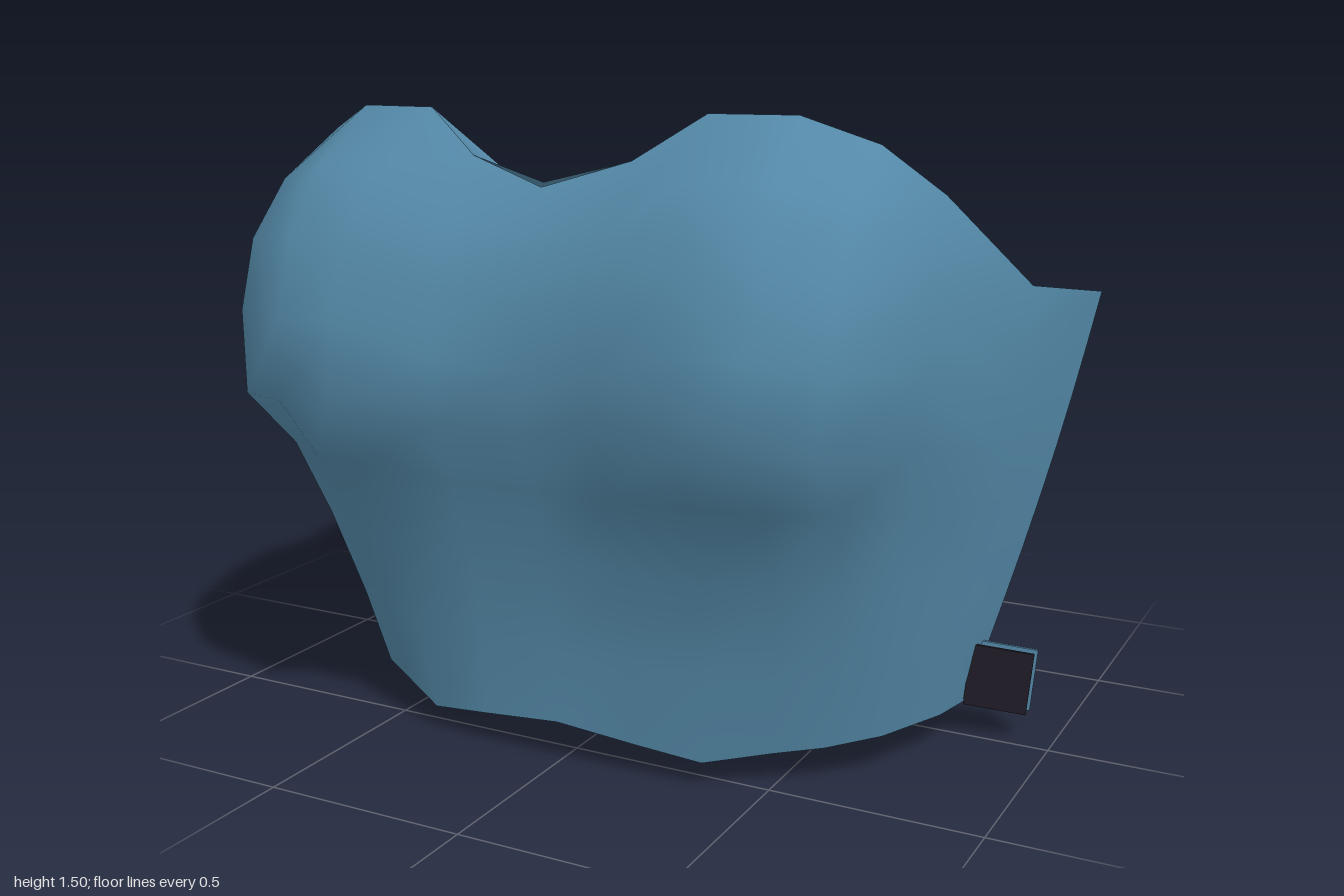
import * as THREE from 'three';

const ROWS = 9;

// Surface skinned over columns of [x, y, z] points; columns run counterclockwise, points run upward
function skin(columns) {
  const rows = columns[0].length, index = [];
  for (let i = 0; i < columns.length - 1; i++) {
    for (let j = 0; j < rows - 1; j++) {
      const a = i * rows + j, b = a + rows;
      index.push(a, b, b + 1, a, b + 1, a + 1);
    }
  }
  const g = new THREE.BufferGeometry();
  g.setAttribute('position', new THREE.Float32BufferAttribute(columns.flat(2), 3));
  g.setIndex(index);
  g.computeVertexNormals();
  return g;
}

const flip = (col) => col.map(([x, y, z]) => [-x, y, z]);
const profile = (xs, ys, zs) => ys.map((y, i) => [Array.isArray(xs) ? xs[i] : xs, y, zs[i]]);

// Nearly straight column from hem to rim with a slight outward bulge
function straight(a, b, bulge = 0) {
  return Array.from({ length: ROWS }, (_, i) => {
    const t = i / (ROWS - 1), s = 1 + bulge * Math.sin(Math.PI * t);
    return [(a[0] + (b[0] - a[0]) * t) * s, a[1] + (b[1] - a[1]) * t, (a[2] + (b[2] - a[2]) * t) * s];
  });
}

export function createModel() {
  const group = new THREE.Group();
  const blue = new THREE.MeshStandardMaterial({ color: 0x5489a8, side: THREE.DoubleSide });
  blue.name = 'blue fabric';
  const dark = new THREE.MeshStandardMaterial({ color: 0x1f1c28 });
  dark.name = 'dark label';

  const add = (name, geometry, material) => {
    const mesh = new THREE.Mesh(geometry, material);
    mesh.name = name;
    group.add(mesh);
    return mesh;
  };

  const seam = straight([0.79, 0.08, -0.03], [1, 1.06, -0.3], 0.015);

  // Front panel: centre profile, then profiles across the bust to the side seam
  const centre = profile(0,
    [0.1, 0.28, 0.5, 0.68, 0.82, 0.95, 1.1, 1.23, 1.34],
    [0.59, 0.6, 0.63, 0.68, 0.72, 0.73, 0.72, 0.69, 0.62]);
  const half = [
    profile(0.2,
      [0.08, 0.28, 0.5, 0.68, 0.83, 0.97, 1.12, 1.27, 1.4],
      [0.58, 0.6, 0.64, 0.7, 0.76, 0.77, 0.75, 0.69, 0.58]),
    profile([0.36, 0.38, 0.39, 0.41, 0.42, 0.42, 0.41, 0.39, 0.35],
      [0.06, 0.28, 0.5, 0.71, 0.85, 1.04, 1.22, 1.37, 1.5],
      [0.56, 0.6, 0.64, 0.74, 0.86, 0.83, 0.79, 0.69, 0.52]),
    profile([0.5, 0.53, 0.55, 0.57, 0.58, 0.58, 0.58, 0.57, 0.55],
      [0.08, 0.28, 0.5, 0.7, 0.85, 1.04, 1.22, 1.37, 1.5],
      [0.48, 0.53, 0.6, 0.71, 0.82, 0.81, 0.76, 0.66, 0.5]),
    profile([0.6, 0.64, 0.68, 0.7, 0.71, 0.73, 0.73, 0.72, 0.7],
      [0.09, 0.28, 0.5, 0.7, 0.85, 1.04, 1.2, 1.33, 1.44],
      [0.42, 0.46, 0.53, 0.63, 0.78, 0.76, 0.71, 0.6, 0.42]),
    profile([0.7, 0.74, 0.77, 0.8, 0.83, 0.85, 0.85, 0.83, 0.8],
      [0.1, 0.28, 0.5, 0.68, 0.83, 0.98, 1.11, 1.23, 1.33],
      [0.32, 0.35, 0.4, 0.46, 0.54, 0.55, 0.52, 0.43, 0.29]),
    straight([0.77, 0.09, 0.12], [0.92, 1.11, 0.02], 0.02),
    seam,
  ];
  add('frontPanel', skin([...half.map(flip).reverse(), centre, ...half]), blue);

  // Back panel flares straight from hem to rim
  const backHalf = [
    seam,
    straight([0.7, 0.04, -0.17], [0.94, 1.03, -0.47], 0.01),
    straight([0.6, 0.01, -0.3], [0.85, 0.98, -0.66], 0.01),
    straight([0.4, 0, -0.39], [0.55, 0.96, -0.78]),
    straight([0.21, 0, -0.46], [0.2, 0.94, -0.855]),
  ];
  const backCentre = straight([0, 0.01, -0.49], [0, 0.94, -0.83]);
  add('backPanel', skin([...backHalf, backCentre, ...backHalf.map(flip).reverse()]), blue);

  // Neckline edge folded inward to a point at the centre
  const fold = [
    [[0.35, 1.49, 0.51], [0.35, 1.5, 0.52]],
    [[0.1, 1.32, 0.51], [0.2, 1.4, 0.58]],
  ];
  const foldCentre = [[0, 1.14, 0.46], [0, 1.35, 0.61]];
  add('necklineFold', skin([...fold, foldCentre, ...fold.map(flip).reverse()]), blue);

  // Side label: dark front leaf and blue rear leaf
  const leaf = new THREE.BoxGeometry(0.15, 0.155, 0.008);
  [['labelFront', dark, -0.012], ['labelBack', blue, -0.045]].forEach(([name, material, z]) => {
    const mesh = add(name, leaf, material);
    mesh.position.set(0.87, 0.152, z);
    mesh.rotation.set(0, 0.22, -0.09);
  });

  return group;
}
